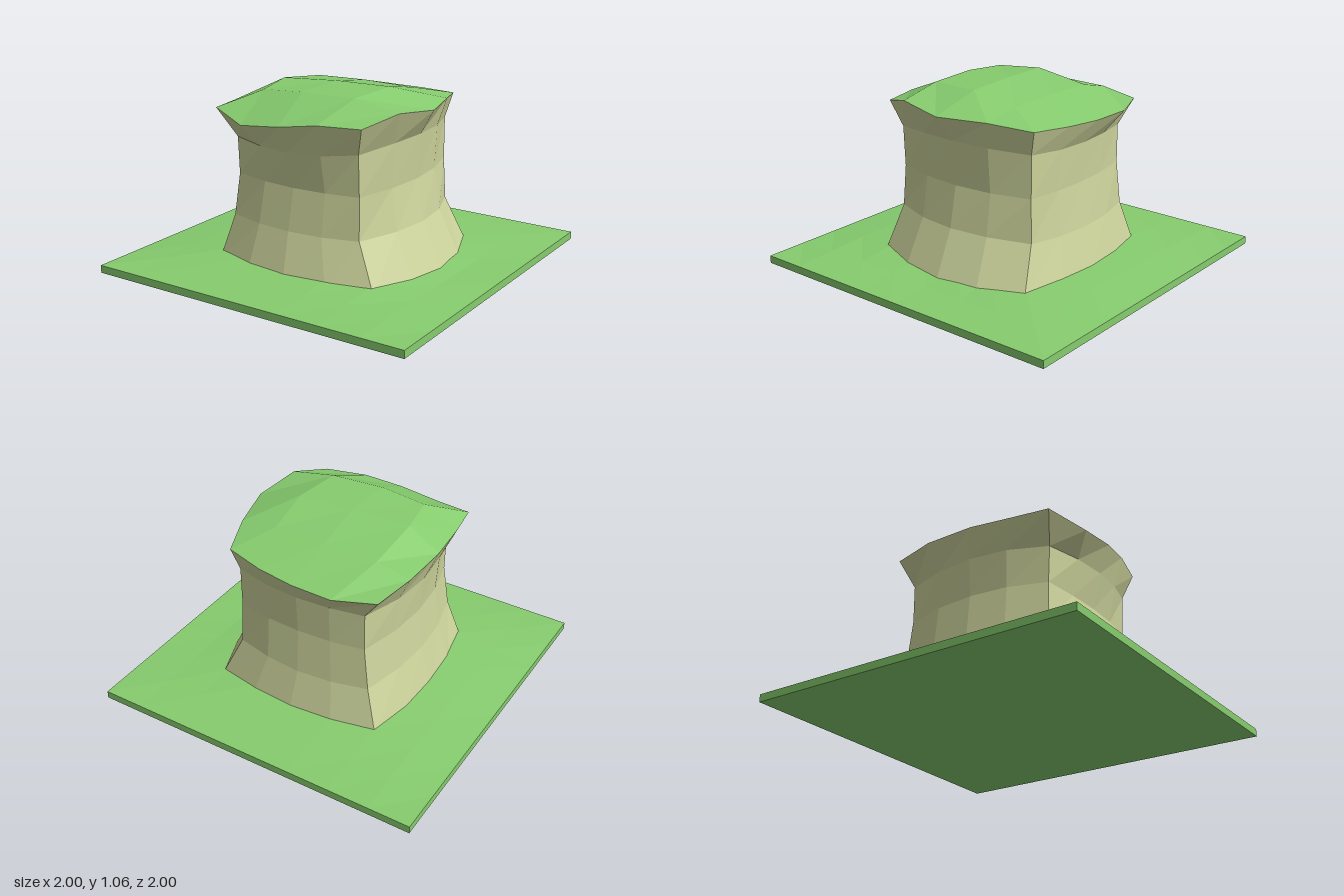
import * as THREE from 'three';

const green = new THREE.MeshStandardMaterial({ color: 0x86cc6e, flatShading: true });
const stone = new THREE.MeshStandardMaterial({ color: 0xcdd49c, flatShading: true });

// Stitches rows of points into a surface; right along a row, then up to the next row, faces outward.
function surface(rows) {
  const index = [];
  const n = rows[0].length;
  for (let r = 0; r < rows.length - 1; r++) {
    for (let c = 0; c < n - 1; c++) {
      const a = r * n + c, b = a + 1, d = a + n, e = d + 1;
      index.push(a, b, e, a, e, d);
    }
  }
  const g = new THREE.BufferGeometry();
  g.setAttribute('position', new THREE.Float32BufferAttribute(rows.flat(2), 3));
  g.setIndex(index);
  g.computeVertexNormals();
  return g;
}

// Bulged square ring of 16 points: front, right-hand, back, left-hand side.
// corners and mids give the extents [x-, x+, z-, z+]; ys the height at front, +x, back and -x.
function ring([l, r, b, f], [ml, mr, mb, mf], ys) {
  const sides = [[l, f, r, f, 0, mf - f], [r, f, r, b, mr - r, 0], [r, b, l, b, 0, mb - b], [l, b, l, f, ml - l, 0]];
  const pts = [];
  sides.forEach(([x0, z0, x1, z1, bx, bz], s) => {
    const cornerY = (k) => (ys[(k + 3) % 4] + ys[k % 4]) / 2;
    for (let i = 0; i < 4; i++) {
      const t = i / 4, bulge = 4 * t * (1 - t);
      const y0 = THREE.MathUtils.lerp(cornerY(s), cornerY(s + 1), t);
      const y = y0 + (ys[s] - y0) * bulge;
      pts.push([x0 + (x1 - x0) * t + bx * bulge, y, z0 + (z1 - z0) * t + bz * bulge]);
    }
  });
  return pts;
}

// Overhanging rim shared by the column and its grassy top
const rim = [
  [-0.50, 0.94, 0.54], [-0.26, 0.89, 0.63], [-0.01, 0.915, 0.63], [0.21, 0.945, 0.59],
  [0.45, 0.945, 0.53], [0.55, 1.00, 0.32], [0.60, 0.97, 0.04], [0.52, 0.97, -0.25],
  [0.43, 0.945, -0.49], [0.20, 0.935, -0.55], [-0.02, 0.925, -0.575], [-0.27, 0.925, -0.58],
  [-0.50, 0.93, -0.49], [-0.55, 0.95, -0.24], [-0.56, 0.95, 0.06], [-0.53, 0.94, 0.34],
];

function createColumn() {
  const rings = [
    ring([-0.51, 0.53, -0.51, 0.53], [-0.58, 0.66, -0.585, 0.635], [0.05, 0.04, 0.05, 0.05]),
    ring([-0.43, 0.41, -0.46, 0.485], [-0.51, 0.53, -0.52, 0.55], [0.31, 0.32, 0.30, 0.32]),
    ring([-0.40, 0.40, -0.45, 0.47], [-0.48, 0.485, -0.49, 0.51], [0.55, 0.56, 0.56, 0.57]),
    ring([-0.40, 0.40, -0.45, 0.48], [-0.50, 0.505, -0.50, 0.56], [0.76, 0.82, 0.79, 0.79]),
    rim,
  ];
  return new THREE.Mesh(surface(rings.map((p) => [...p, p[0]])), stone);
}

function createTop() {
  // Interior points of the cap, from front to back
  const inner = [
    [[-0.31, 1.03, 0.35], [-0.04, 1.05, 0.36], [0.28, 1.05, 0.33]],
    [[-0.36, 1.045, 0.09], [-0.02, 1.06, 0.05], [0.31, 1.06, 0.02]],
    [[-0.35, 1.0, -0.25], [-0.03, 1.01, -0.25], [0.29, 1.005, -0.25]],
  ];
  const rows = [rim.slice(0, 5)];
  inner.forEach((p, i) => rows.push([rim[15 - i], ...p, rim[5 + i]]));
  rows.push(rim.slice(8, 13).reverse());
  return new THREE.Mesh(surface(rows), green);
}

function createGround() {
  const g = new THREE.BoxGeometry(2, 0.045, 2, 8, 1, 8);
  g.translate(0, 0.0225, 0);
  const p = g.attributes.position;
  for (let i = 0; i < p.count; i++) {
    if (p.getY(i) < 0.02) continue;
    const x = p.getX(i), z = p.getZ(i);
    const d = Math.max(Math.abs(x), Math.abs(z));
    // The soil swells towards the column, least on the +x side and in the corners
    let lift = 0.055 * Math.min(1, (1 - d) / 0.45);
    lift *= 1 - 0.8 * THREE.MathUtils.smoothstep(x, 0.3, 0.75) * (1 - Math.abs(z));
    lift *= 1 - 0.7 * Math.max(0, Math.min(Math.abs(x), Math.abs(z)) - 0.4) / 0.6;
    if (z < 0) lift *= 0.75;
    p.setY(i, 0.045 + lift);
  }
  g.computeVertexNormals();
  return new THREE.Mesh(g, green);
}

export function createModel() {
  const model = new THREE.Group();
  model.name = 'rockPillarTile';
  const parts = { ground: createGround(), rockColumn: createColumn(), grassTop: createTop() };
  for (const [name, mesh] of Object.entries(parts)) {
    mesh.name = name;
    model.add(mesh);
  }
  return model;
}
